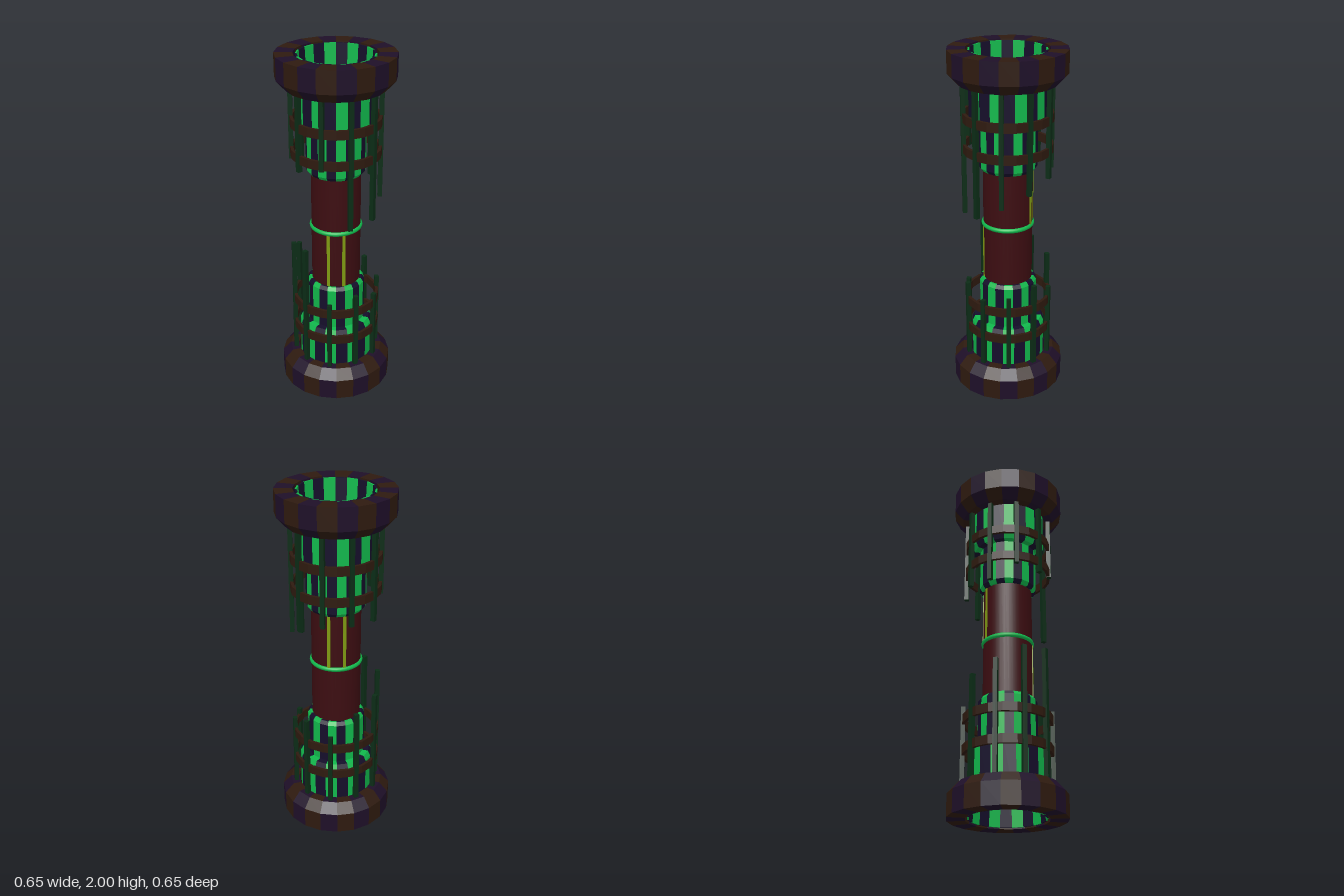
import * as THREE from 'three';
import { mergeGeometries } from 'three/addons/utils/BufferGeometryUtils.js';

const SIDES = 20;
const STEP = (Math.PI * 2) / SIDES;

const mat = (color, flatShading = true) => new THREE.MeshStandardMaterial({ color, flatShading });
const brown = mat(0x2e1a0f);
const purple = mat(0x1e0f28);
const green = mat(0x11b84c);
const navy = mat(0x150e2a);
const darkGreen = mat(0x0b2c16);
const red = mat(0x3c0d11, false);
const yellow = mat(0x7f9a12);
const smoothGreen = mat(0x11b84c, false);

const points = (list) => list.map(([r, y]) => new THREE.Vector2(r, y));

function addMesh(parent, name, geometry, material) {
  const mesh = new THREE.Mesh(geometry, material);
  mesh.name = name;
  parent.add(mesh);
  return mesh;
}

// A ring of flat sectors in two alternating colours
function stripedRing(parent, name, profile, evenMat, oddMat) {
  [evenMat, oddMat].forEach((material, parity) => {
    const parts = [];
    for (let k = parity; k < SIDES; k += 2) {
      parts.push(new THREE.LatheGeometry(points(profile), 1, k * STEP + Math.PI / 2, STEP));
    }
    addMesh(parent, name + (parity ? 'Odd' : 'Even'), mergeGeometries(parts), material);
  });
}

// Base ring, stepped striped sleeve and two hoops
function createEnd(name) {
  const end = new THREE.Group();
  end.name = name;
  stripedRing(end, 'baseRing',
    [[0.226, 0], [0.325, 0], [0.325, 0.125], [0.275, 0.18], [0.226, 0.18], [0.226, 0]], brown, purple);
  stripedRing(end, 'steppedSleeve', [
    [0.205, 0.005], [0.214, 0.005], [0.214, 0.37], [0.2, 0.4], [0.166, 0.4], [0.166, 0.645],
    [0.152, 0.665], [0.134, 0.665], [0.134, 0.62], [0.155, 0.4], [0.185, 0.36], [0.205, 0.005],
  ], navy, green);
  for (const y of [0.365, 0.54]) {
    const h = 0.025;
    const band = [[0.235, y - h], [0.252, y - h], [0.252, y + h], [0.235, y + h], [0.235, y - h]];
    addMesh(end, 'hoop', new THREE.LatheGeometry(points(band), SIDES, Math.PI / 2), brown);
  }
  return end;
}

// Upright bar standing at an angle measured from +x towards +z
function addBar(parent, name, degrees, radius, y0, y1, width, depth, material) {
  const a = THREE.MathUtils.degToRad(degrees);
  const bar = addMesh(parent, name, new THREE.BoxGeometry(depth, y1 - y0, width), material);
  bar.position.set(Math.cos(a) * radius, (y0 + y1) / 2, Math.sin(a) * radius);
  bar.rotation.y = -a;
}

export function createModel() {
  const model = new THREE.Group();
  model.name = 'column';

  // Two matching ends, the upper one turned over
  model.add(createEnd('lowerEnd'));
  const upper = createEnd('upperEnd');
  upper.rotation.x = Math.PI;
  upper.position.y = 2;
  model.add(upper);

  // Hollow core with a collar in the middle
  const core = [[0.13, 0.6], [0.14, 0.6], [0.14, 1.4], [0.13, 1.4], [0.13, 0.6]];
  addMesh(model, 'coreTube', new THREE.LatheGeometry(points(core), 40), red);
  const collar = addMesh(model, 'collar', new THREE.TorusGeometry(0.137, 0.014, 10, 40), smoothGreen);
  collar.rotation.x = Math.PI / 2;
  collar.position.y = 1.005;

  // Thin strips on the core
  for (const a of [90, 126]) addBar(model, 'lowerStrip', a, 0.139, 0.65, 1, 0.018, 0.01, yellow);
  for (const a of [-90, -54]) addBar(model, 'upperStrip', a, 0.139, 1, 1.35, 0.018, 0.01, yellow);

  // Ten rods of uneven length around each end
  const lowerTips = [0.63, 0.6, 0.65, 0.6, 0.92, 0.9, 0.82, 0.76, 0.62, 0.69];
  lowerTips.forEach((y, i) => addBar(model, 'lowerRod', 9 + i * 36, 0.245, 0.15, y, 0.025, 0.025, darkGreen));
  const upperTips = [1.18, 1.1, 1.08, 1.43, 1.39, 1.41, 1.31, 1.32, 1.31, 1.25];
  upperTips.forEach((y, i) => addBar(model, 'upperRod', 18 + i * 36, 0.245, y, 1.85, 0.025, 0.025, darkGreen));

  return model;
}
